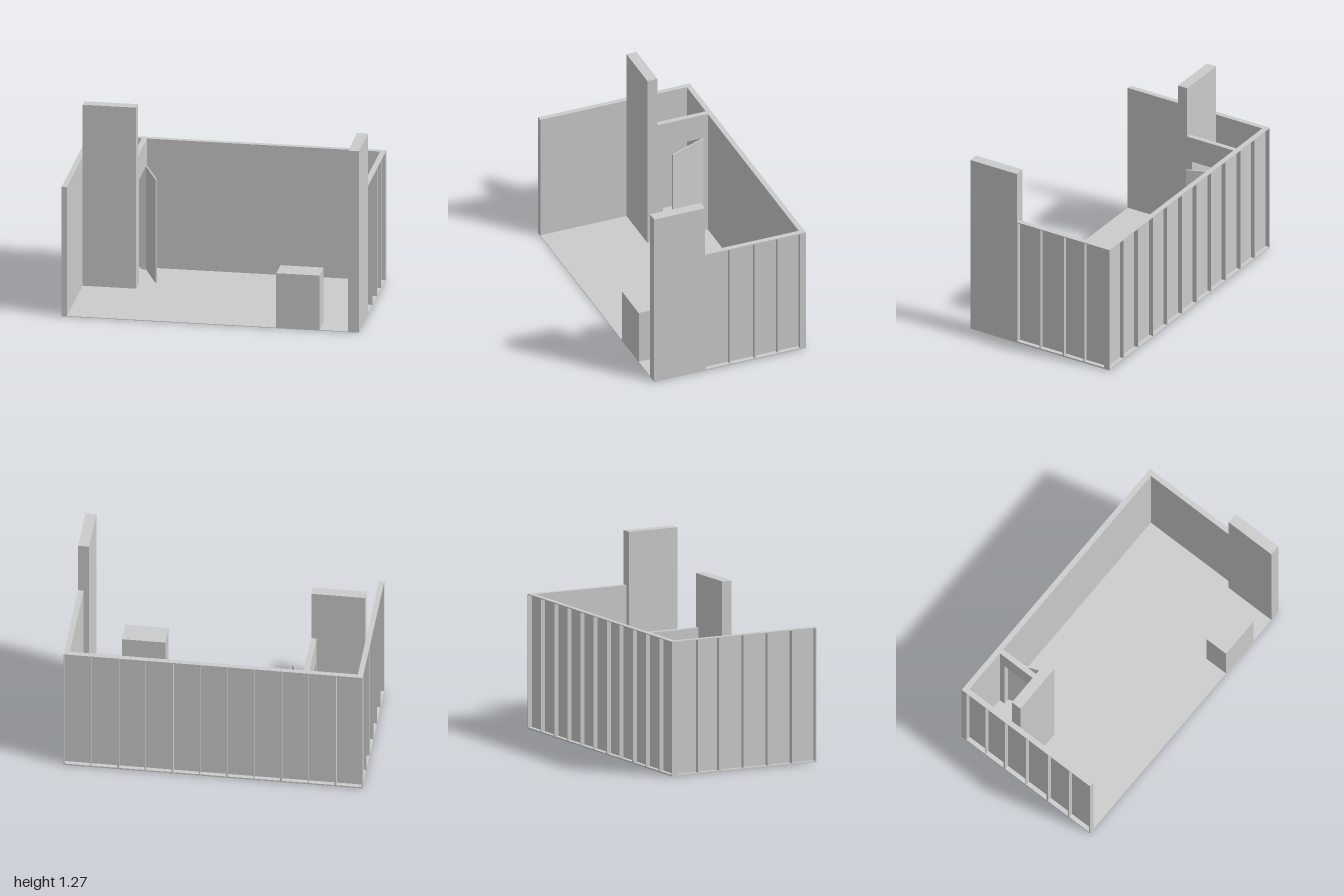
import * as THREE from 'three';

const mat = new THREE.MeshStandardMaterial({ color: 0xcccccc, flatShading: true });
const H = 0.91;      // wall height
const D = 0.036;     // wall depth
const FLOOR = 0.004; // floor thickness
const Z = 0.545;     // half depth of the floor

// Box given by its low and high corners
function box(name, x0, x1, y0, y1, z0, z1) {
  const mesh = new THREE.Mesh(new THREE.BoxGeometry(x1 - x0, y1 - y0, z1 - z0), mat);
  mesh.position.set((x0 + x1) / 2, (y0 + y1) / 2, (z0 + z1) / 2);
  mesh.name = name;
  return mesh;
}

// Row of framed flats along local x: inner skin at z = 0, open framing towards +z
function framedWall(name, flats) {
  const wall = new THREE.Group();
  wall.name = name;
  const t = 0.006;
  let x = 0;
  for (const [width, bays] of flats) {
    const end = x + width;
    wall.add(box('wallSkin', x, end, FLOOR, H, 0, 0.006));
    wall.add(box('topRail', x, end, H - t, H, 0.006, D));
    wall.add(box('bottomRail', x, end, FLOOR, FLOOR + t, 0.006, D));
    for (let i = 0; i <= bays; i++) {
      const s = x + (width - t) * i / bays;
      wall.add(box('stud', s, s + t, FLOOR + t, H - t, 0.006, D));
    }
    x = end;
  }
  return wall;
}

export function createModel() {
  const g = new THREE.Group();
  g.name = 'roomSet';
  g.add(box('floor', -1, 1, 0, FLOOR, -Z, Z));

  // Outer walls, framing outwards
  const back = framedWall('backWall', [...Array(5).fill([0.3636, 2]), [0.182, 1]]);
  back.rotation.y = Math.PI;
  back.position.set(1, 0, D - Z);
  const left = framedWall('leftWall', [[0.362, 2], [0.327, 2]]);
  left.rotation.y = Math.PI / 2;
  left.position.set(1 - D, 0, 0.18);
  const right = framedWall('rightWall', [[0.327, 2], [0.364, 2], [0.363, 2]]);
  right.rotation.y = -Math.PI / 2;
  right.position.set(D - 1, 0, D - Z);
  g.add(back, left, right);

  // Tall solid pylons
  g.add(box('leftPylon', 0.927, 1, FLOOR, 1.275, 0.18, Z));
  g.add(box('rightPylon', -0.964, -0.604, FLOOR, 1.275, -0.147, -0.075));

  // Partition with a doorway
  const px0 = -0.64, px1 = -0.604;
  g.add(box('partitionBackPost', px0, px1, FLOOR, H, D - Z, -0.47));
  g.add(box('partitionFrontPost', px0, px1, FLOOR, H, -0.186, -0.147));
  g.add(box('partitionLintel', px0, px1, 0.73, H, -0.47, -0.186));

  // Door standing ajar, pivoting on its hinge edge
  const hinge = new THREE.Group();
  hinge.name = 'door';
  hinge.add(box('doorLeaf', 0, 0.01, FLOOR, 0.73, 0, 0.284));
  hinge.position.set(-0.604, 0, -0.47);
  hinge.rotation.y = Math.atan2(0.107, 0.26);
  g.add(hinge);

  // Counter at the front edge
  g.add(box('counter', 0.444, 0.734, FLOOR, 0.386, 0.38, Z));
  return g;
}
